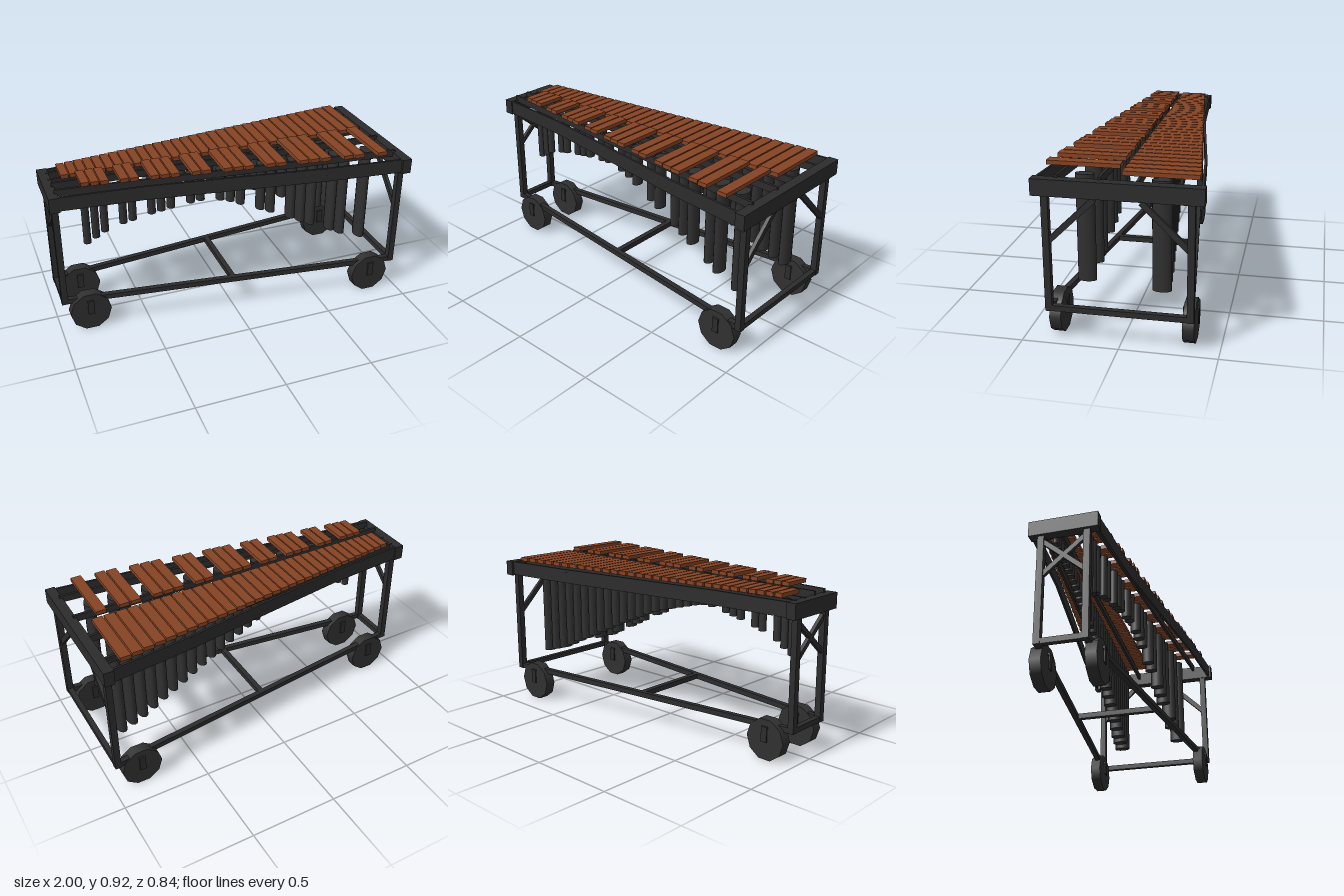
import * as THREE from 'three';

const frameMat = new THREE.MeshStandardMaterial({ color: 0x2c2c2c, name: 'charcoal frame' });
const tubeMat = new THREE.MeshStandardMaterial({ color: 0x303031, name: 'dark grey tube' });
const woodMat = new THREE.MeshStandardMaterial({ color: 0x864323, name: 'rosewood' });

// Linear interpolation through [x, y] points
function curve(points, x) {
  let i = 1;
  while (i < points.length - 1 && x > points[i][0]) i++;
  const [x0, y0] = points[i - 1], [x1, y1] = points[i];
  return y0 + (y1 - y0) * THREE.MathUtils.clamp((x - x0) / (x1 - x0), 0, 1);
}

export function createModel() {
  const model = new THREE.Group();
  model.name = 'marimba';

  const add = (name, geometry, material, x = 0, y = 0, z = 0) => {
    const mesh = new THREE.Mesh(geometry, material);
    mesh.name = name;
    mesh.position.set(x, y, z);
    model.add(mesh);
    return mesh;
  };
  const box = (name, mat, w, h, d, x, y, z) => add(name, new THREE.BoxGeometry(w, h, d), mat, x, y, z);
  // Straight bar of given width and height between two points
  const beam = (name, a, b, w, h) => {
    const p = new THREE.Vector3(...a), q = new THREE.Vector3(...b);
    const mesh = add(name, new THREE.BoxGeometry(w, h, p.distanceTo(q)), frameMat);
    mesh.position.copy(p).lerp(q, 0.5);
    mesh.lookAt(q);
    return mesh;
  };

  // End boards
  box('wideEndBoard', frameMat, 0.055, 0.085, 0.84, 0.9725, 0.823, 0);
  box('narrowEndBoard', frameMat, 0.055, 0.085, 0.37, -0.9725, 0.823, 0);

  const sideLine = [[-0.96, 0.172], [-0.5, 0.208], [0, 0.28], [0.5, 0.355], [0.96, 0.403]];
  for (const s of [1, -1]) {
    // Curved outer side boards
    for (let i = 1; i < sideLine.length; i++) {
      const [x0, z0] = sideLine[i - 1], [x1, z1] = sideLine[i];
      beam('sideBoard', [x0, 0.825, s * z0], [x1, 0.825, s * z1], 0.012, 0.08);
    }
    // Inner rails carrying the bars, the front pair being higher
    const lift = s > 0 ? 0.02 : 0;
    beam('outerBarRail', [-0.96, 0.848 + lift, s * 0.125], [0.96, 0.84 + lift, s * 0.3], 0.014, 0.04);
    beam('innerBarRail', [-0.96, 0.848 + lift, s * 0.042], [0.96, 0.84 + lift, s * 0.09], 0.014, 0.04);

    // Legs and long lower rails
    box('wideLeg', frameMat, 0.035, 0.62, 0.035, 0.967, 0.48, s * 0.357);
    box('narrowLeg', frameMat, 0.035, 0.62, 0.035, -0.967, 0.48, s * 0.122);
    beam('lowerRail', [-0.967, 0.185, s * 0.122], [0.967, 0.185, s * 0.357], 0.03, 0.03);

    // Diagonal braces
    beam('wideBrace', [0.967, 0.54, s * 0.35], [0.967, 0.77, s * 0.115], 0.02, 0.03);
    beam('narrowBrace', [-0.967, 0.56, s * 0.11], [-0.967, 0.75, s * -0.11], 0.02, 0.026);

    // Wheels with thin fork plates
    for (const [x, z] of [[0.83, 0.34], [-0.83, 0.14]]) {
      const wheel = new THREE.CylinderGeometry(0.117, 0.117, 0.06, 10);
      wheel.rotateY(Math.PI / 2).rotateX(Math.PI / 2);
      add('wheel', wheel, tubeMat, x, 0.1113, s * z);
      for (const side of [-1, 1]) {
        box('forkPlate', frameMat, 0.036, 0.085, 0.006, x, 0.1425, s * z + side * 0.038);
      }
      box('forkTop', frameMat, 0.036, 0.012, 0.08, x, 0.18, s * z);
    }
  }

  // Lower cross bars
  for (const [x, depth] of [[0.967, 0.72], [0, 0.475], [-0.967, 0.25]]) {
    box('crossBar', frameMat, 0.03, 0.03, depth, x, 0.185, 0);
  }

  // Bar spacing narrows towards the high end
  const barX = i => 0.865 - 0.067 * i + 0.0003 * i * i;
  const pitch = i => 0.067 - 0.0006 * i;
  const lowEnd = [[0, 0.66], [0.1, 0.615], [0.25, 0.55], [0.4, 0.48], [0.5, 0.43], [0.6, 0.385], [0.72, 0.325], [0.865, 0.28]];
  const naturalEnds = [[-0.88, 0.79], [-0.5, 0.775], [-0.3, 0.742], [-0.12, 0.695], ...lowEnd];
  const raisedEnds = [[-0.8, 0.51], [-0.7, 0.57], [-0.6, 0.605], [-0.45, 0.64], [-0.3, 0.668], [-0.12, 0.69], ...lowEnd];

  // One oval resonator tube below a bar
  const resonator = (name, i, side, ends) => {
    const x = barX(i), t = (x + 0.85) / 1.7;
    const bottom = curve(ends, x), top = 0.855;
    const tube = add(name, new THREE.CylinderGeometry(1, 1, top - bottom, 16), tubeMat,
      x, (top + bottom) / 2, side * (0.08 + 0.115 * t));
    tube.scale.set(pitch(i) * 0.43, 1, 0.017 + 0.032 * t);
  };

  // Natural bars at the back
  for (let i = 0; i <= 30; i++) {
    const x = barX(i), outer = 0.27 + 0.13 * x;
    box('naturalBar', woodMat, pitch(i) * 0.88, 0.023, outer - 0.008, x, 0.885, -(outer + 0.008) / 2);
    resonator('naturalResonator', i, -1, naturalEnds);
  }

  // Raised bars at the front, in groups of two and three
  const raised = [0.5];
  for (let k = 0; k < 4; k++) for (const n of [2.5, 3.5, 5.5, 6.5, 7.5]) raised.push(n + 7 * k);
  for (const i of raised) {
    const x = barX(i), outer = 0.268 + 0.133 * x;
    box('raisedBar', woodMat, pitch(i) * 0.88, 0.022, outer - 0.008, x, 0.907, (outer + 0.008) / 2);
    resonator('raisedResonator', i, 1, raisedEnds);
  }

  return model;
}
